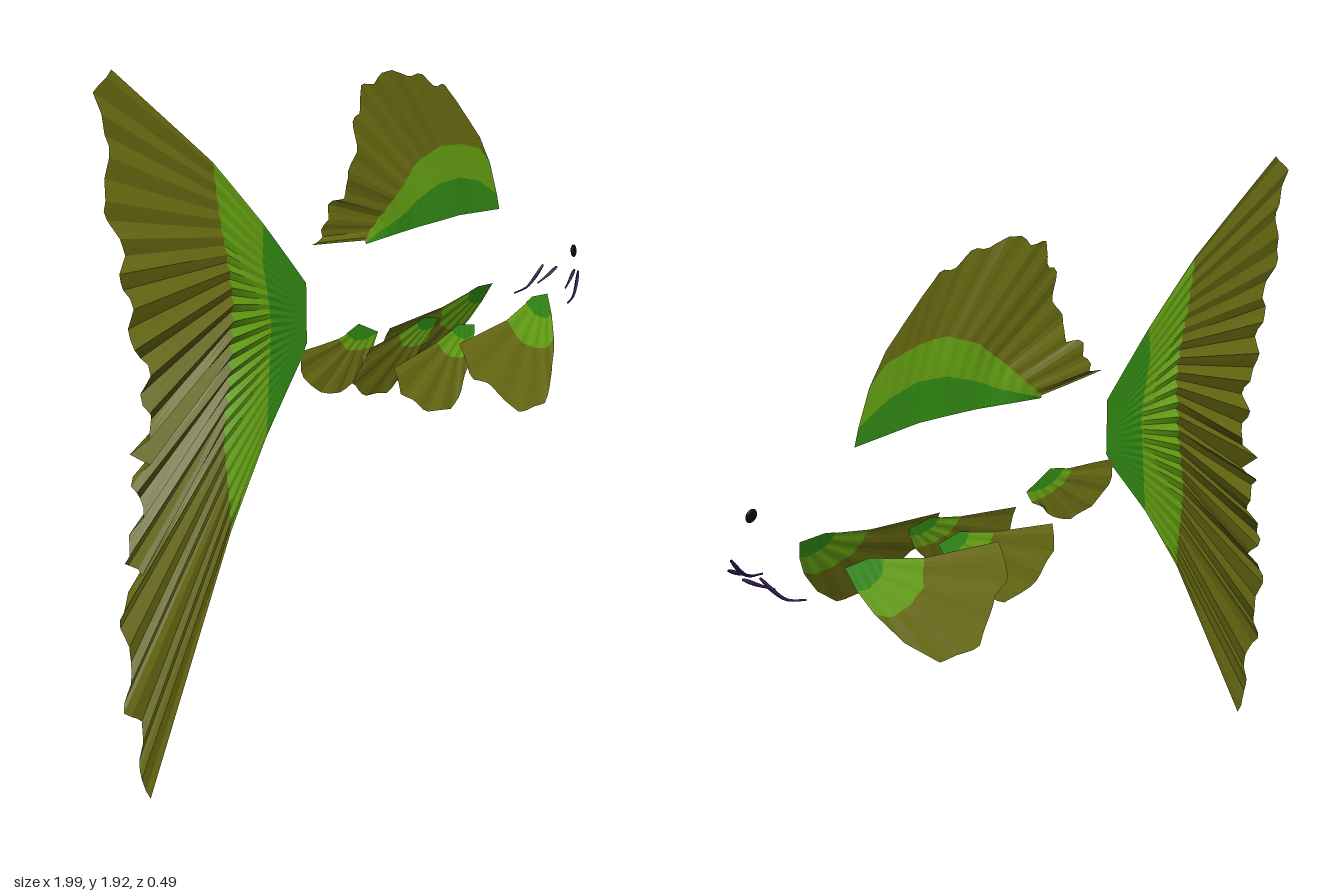
import * as THREE from 'three';

const mat = (name, color) => {
  const m = new THREE.MeshStandardMaterial({ color, side: THREE.DoubleSide });
  m.name = name;
  return m;
};

// Evenly spaced points along a polyline
function resample(points, n) {
  const path = new THREE.CurvePath();
  for (let i = 1; i < points.length; i++) {
    path.add(new THREE.LineCurve(new THREE.Vector2(...points[i - 1]), new THREE.Vector2(...points[i])));
  }
  return Array.from({ length: n + 1 }, (_, i) => path.getPoint(i / n));
}

// Fin membrane: one coloured band between each pair of neighbouring rows, with facets;
// depth(u, v, x, y) gives z, u running across the rays and v from root to tip
function makeFin(name, rows, mats, n, sub, depth) {
  const fin = new THREE.Group();
  fin.name = name;
  const lines = rows.map(r => resample(r, n));
  mats.forEach((m, k) => {
    const pos = [];
    const at = (i, j) => {
      const p = lines[k][i].clone().lerp(lines[k + 1][i], j / sub);
      return [p.x, p.y, depth(i / n, (k + j / sub) / mats.length, p.x, p.y)];
    };
    for (let i = 0; i < n; i++) {
      for (let j = 0; j < sub; j++) {
        const a = at(i, j), b = at(i + 1, j), c = at(i + 1, j + 1), d = at(i, j + 1);
        pos.push(...a, ...d, ...c, ...a, ...c, ...b);
      }
    }
    const g = new THREE.BufferGeometry();
    g.setAttribute('position', new THREE.Float32BufferAttribute(pos, 3));
    g.computeVertexNormals();
    const mesh = new THREE.Mesh(g, m);
    mesh.name = name + ['Root', 'Middle', 'Edge'][k];
    fin.add(mesh);
  });
  return fin;
}

// Thin tapered stroke, thickest at its front end
function makeStroke(name, points, radius, material) {
  const curve = new THREE.CatmullRomCurve3(points.map(p => new THREE.Vector3(...p)));
  const g = new THREE.TubeGeometry(curve, 12, 1, 5);
  const p = g.attributes.position, c = new THREE.Vector3(), q = new THREE.Vector3();
  for (let i = 0; i < p.count; i++) {
    const t = Math.floor(i / 6) / 12;
    curve.getPointAt(t, c);
    q.fromBufferAttribute(p, i).sub(c).multiplyScalar(radius * (0.2 + 0.8 * Math.sin(Math.PI * (0.1 + 0.75 * t * t))));
    p.setXYZ(i, c.x + q.x, c.y + q.y, c.z + q.z);
  }
  g.computeVertexNormals();
  const mesh = new THREE.Mesh(g, material);
  mesh.name = name;
  return mesh;
}

export function createModel() {
  const model = new THREE.Group();
  model.name = 'fishFins';
  const deep = mat('deepGreen', 0x2f8412);
  const bright = mat('brightGreen', 0x609a10);
  const olive = mat('olive', 0x646610);
  const black = mat('black', 0x0a0a0a);
  const purple = mat('darkPurple', 0x2c1250);
  const greens = [deep, bright, olive];

  // Tail fin with pleats growing towards the ragged edge
  model.add(makeFin('tailFin', [
    [[-0.28, 1.29], [-0.28, 1.12], [-0.31, 1.07]],
    [[-0.44, 1.48], [-0.45, 1.38], [-0.42, 1.2], [-0.43, 1.05], [-0.45, 0.89]],
    [[-0.61, 1.665], [-0.6, 1.5], [-0.57, 1.3], [-0.57, 1.1], [-0.6, 0.9], [-0.6, 0.66]],
    [[-0.92, 1.925], [-0.98, 1.88], [-0.95, 1.75], [-0.99, 1.6], [-0.93, 1.48], [-0.97, 1.44], [-0.93, 1.37],
      [-0.94, 1.25], [-0.88, 1.2], [-0.9, 1.08], [-0.85, 1.04], [-0.92, 0.96], [-0.87, 0.92], [-0.93, 0.87],
      [-0.87, 0.82], [-0.95, 0.67], [-0.89, 0.63], [-0.98, 0.53], [-0.95, 0.39], [-1, 0.27], [-0.94, 0.23],
      [-0.97, 0.08], [-0.935, 0]],
  ], greens, 88, 3, (u, v) => {
    const fold = Math.sin(u * 22 * Math.PI * 2) * (0.005 + 0.012 * Math.sin(Math.PI * u) ** 4);
    return v * v * (fold + 0.025 * Math.sin(u * 9 - 1.2) - 0.008);
  }));

  // Dorsal fin
  model.add(makeFin('dorsalFin', [
    [[-0.02, 1.355], [0.2, 1.37], [0.4, 1.375], [0.615, 1.36]],
    [[-0.02, 1.358], [0.12, 1.41], [0.2, 1.45], [0.3, 1.485], [0.4, 1.49], [0.5, 1.465], [0.6, 1.41]],
    [[-0.02, 1.365], [0.03, 1.41], [0.1, 1.48], [0.2, 1.56], [0.3, 1.597], [0.4, 1.59], [0.5, 1.565], [0.56, 1.51]],
    [[-0.25, 1.39], [-0.19, 1.4], [-0.2, 1.43], [-0.17, 1.45], [-0.17, 1.5], [-0.11, 1.5], [-0.11, 1.58],
      [-0.07, 1.62], [-0.08, 1.72], [-0.04, 1.73], [-0.035, 1.81], [0.02, 1.8], [0.04, 1.83], [0.09, 1.835],
      [0.16, 1.81], [0.2, 1.82], [0.27, 1.77], [0.31, 1.78], [0.4, 1.7], [0.5, 1.6], [0.56, 1.51]],
  ], greens, 64, 2, (u, v, x) =>
    v * (0.004 * Math.sin(u * 90) * (1 - u) + 0.014 * Math.sin(u * 16 + 3.6) * (1 - u)) + 0.006 * Math.sin(x * 8 - 1)));

  // Anal fin
  model.add(makeFin('analFin', [
    [[-0.12, 1.115], [-0.06, 1.13], [0.035, 1.085]],
    [[-0.12, 1.112], [-0.08, 1.085], [-0.03, 1.075], [0.035, 1.083]],
    [[-0.155, 1.107], [-0.12, 1.065], [-0.05, 1.05], [0.015, 1.045]],
    [[-0.31, 1.1], [-0.3, 1.03], [-0.27, 0.995], [-0.22, 0.96], [-0.14, 0.945], [-0.09, 0.965], [-0.05, 0.99],
      [-0.03, 1.02], [0.015, 1.045]],
  ], greens, 16, 2, (u, v, x) => 0.008 * Math.sin(x * 14 + 4) + 0.003 * v * Math.sin(u * 30)));

  // Paired fins and mouth lines, splayed outwards on each side
  for (const [side, s] of [['left', 1], ['right', -1]]) {
    // Mirrored depth, leaning outwards as the fin goes down
    const splay = (top, z, slope) => (u, v, x, y) => s * (z + (top - y) * slope + 0.003 * v * Math.sin(u * 28));
    model.add(makeFin(side + 'PectoralFin', [
      [[0.61, 1.08], [0.65, 1.09], [0.73, 1.085]],
      [[0.61, 1.078], [0.63, 1.04], [0.68, 1.02], [0.715, 1.025]],
      [[0.49, 1.05], [0.52, 0.98], [0.58, 0.95], [0.64, 0.94], [0.685, 0.96]],
      [[0.24, 1.03], [0.24, 0.93], [0.3, 0.91], [0.35, 0.85], [0.4, 0.8], [0.48, 0.8], [0.53, 0.795], [0.56, 0.82],
        [0.62, 0.87], [0.685, 0.96]],
    ], greens, 24, 2, splay(1.09, 0.105, 0.48)));
    model.add(makeFin(side + 'PelvicFin', [
      [[0.29, 1.052], [0.32, 1.06], [0.4, 1.045]],
      [[0.29, 1.05], [0.31, 1.025], [0.35, 1.01], [0.39, 1.02]],
      [[0.21, 1.03], [0.24, 0.985], [0.3, 0.965], [0.365, 0.97]],
      [[0, 1], [0.01, 0.92], [0.05, 0.9], [0.1, 0.85], [0.18, 0.84], [0.22, 0.83], [0.26, 0.86], [0.3, 0.9],
        [0.365, 0.97]],
    ], greens, 20, 2, splay(1.06, 0.065, 0.27)));

    model.add(makeStroke(side + 'CheekLine',
      [[0.85, 1.03, 0.105 * s], [0.9, 1.042, 0.093 * s], [0.93, 1.07, 0.083 * s], [0.96, 1.112, 0.07 * s]], 0.006, purple));
    model.add(makeStroke(side + 'LipLine',
      [[0.91, 1.06, 0.055 * s], [0.95, 1.08, 0.045 * s], [0.99, 1.105, 0.035 * s]], 0.006, purple));
  }

  // Eye
  const eye = new THREE.Mesh(new THREE.SphereGeometry(0.02, 16, 12), black);
  eye.name = 'eye';
  eye.scale.z = 0.3;
  eye.position.set(0.87, 1.2, 0.108);
  eye.rotation.set(-0.15, 0.2, 0);
  model.add(eye);

  return model;
}
